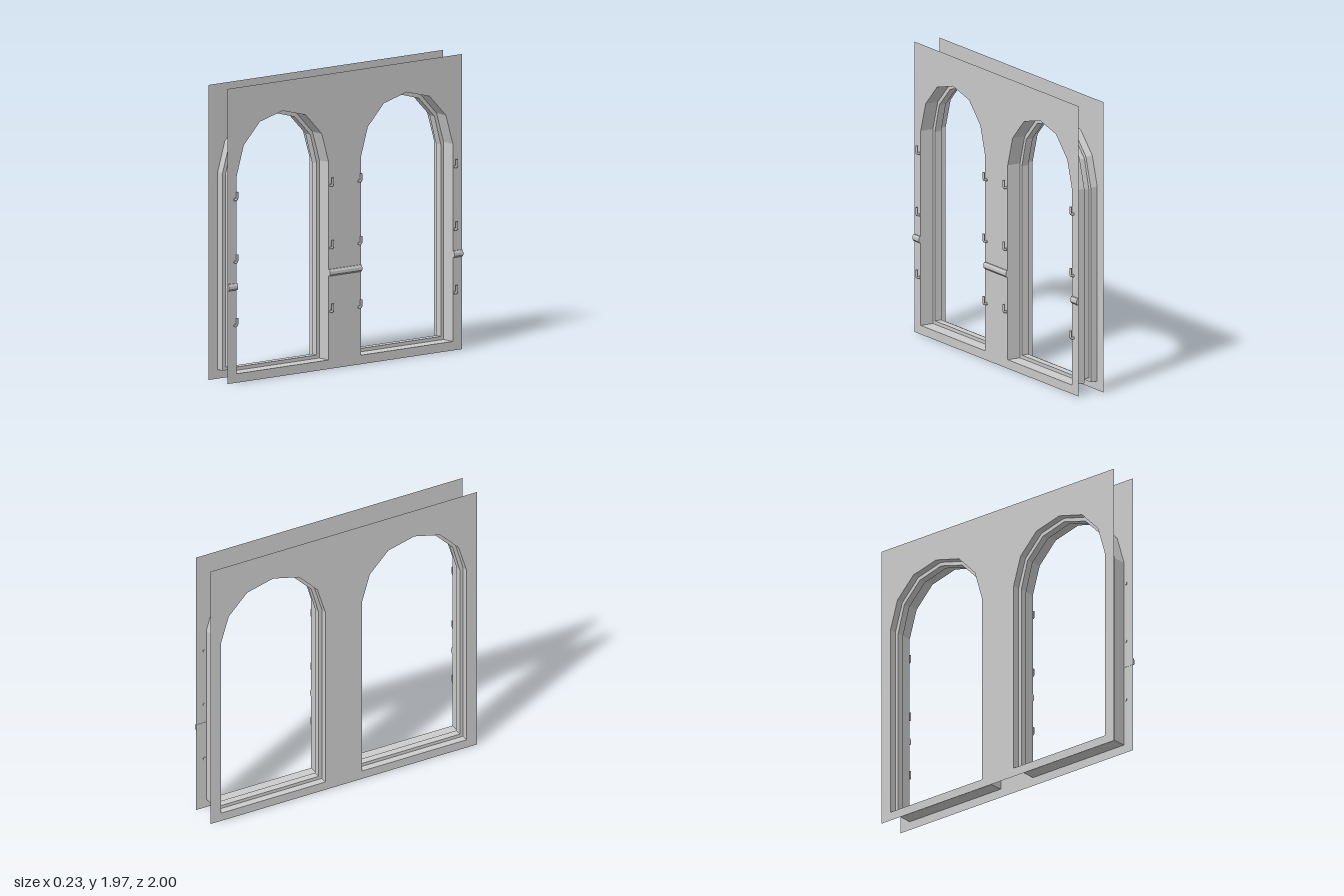
import * as THREE from 'three';

const TOP = 1.97, CENTRE = 0.53, BACK = -0.115, FRONT = 0.08;
const mat = new THREE.MeshStandardMaterial({ color: 0xcccccc, flatShading: true, side: THREE.DoubleSide });
const smooth = new THREE.MeshStandardMaterial({ color: 0xcccccc });

// Arched outlines as [z offset from the arch centre, y], right half mirrored
const mirrorArch = (half) => [...half, [0, half.top], ...half.slice().reverse().map(([z, y]) => [-z, y])];
const arch = (half, top) => mirrorArch(Object.assign(half, { top }));
const OUTER = arch([[0.393, 0.06], [0.393, 1.38], [0.333, 1.578], [0.195, 1.72]], 1.77);
const INNER = arch([[0.369, 0.083], [0.369, 1.365], [0.315, 1.56], [0.182, 1.695]], 1.745);

function mesh(name, geometry, material = mat) {
  const m = new THREE.Mesh(geometry, material);
  m.name = name;
  return m;
}

// Thin wall sheet with two arched openings
function wallSheet(x) {
  const shape = new THREE.Shape([[-1, 0], [1, 0], [1, TOP], [-1, TOP]].map((p) => new THREE.Vector2(...p)));
  for (const c of [-CENTRE, CENTRE]) {
    shape.holes.push(new THREE.Path(OUTER.map(([z, y]) => new THREE.Vector2(z + c, y))));
  }
  return new THREE.ShapeGeometry(shape).rotateY(Math.PI / 2).translate(x, 0, 0);
}

// Stepped window frame: arch outlines joined through the wall depth
function frameGeometry() {
  const rings = [[BACK, OUTER], [-0.065, OUTER], [-0.065, INNER], [-0.015, INNER], [-0.015, OUTER], [FRONT, OUTER]];
  const pos = [];
  for (let r = 0; r < rings.length - 1; r++) {
    const [xa, A] = rings[r], [xb, B] = rings[r + 1];
    for (let i = 0; i < A.length; i++) {
      const j = (i + 1) % A.length;
      const a = [xa, A[i][1], A[i][0]], b = [xa, A[j][1], A[j][0]];
      const c = [xb, B[j][1], B[j][0]], d = [xb, B[i][1], B[i][0]];
      pos.push(...a, ...b, ...c, ...a, ...c, ...d);
    }
  }
  const g = new THREE.BufferGeometry();
  g.setAttribute('position', new THREE.Float32BufferAttribute(pos, 3));
  g.computeVertexNormals();
  return g;
}

// Upturned hook with a small round wall plate
function hook() {
  const group = new THREE.Group();
  group.name = 'hook';
  const path = new THREE.CurvePath();
  const v = (x, y) => new THREE.Vector3(x, y, 0);
  path.add(new THREE.LineCurve3(v(0, 0), v(0.01, 0)));
  path.add(new THREE.QuadraticBezierCurve3(v(0.01, 0), v(0.023, 0), v(0.023, 0.015)));
  path.add(new THREE.LineCurve3(v(0.023, 0.015), v(0.023, 0.053)));
  group.add(mesh('hookRod', new THREE.TubeGeometry(path, 14, 0.008, 8), smooth));
  const tip = mesh('hookTip', new THREE.CylinderGeometry(0.008, 0.008, 0.002, 8), smooth);
  tip.position.set(0.023, 0.053, 0);
  const plate = mesh('hookPlate', new THREE.CylinderGeometry(0.011, 0.011, 0.01, 8).rotateZ(Math.PI / 2), smooth);
  group.add(tip, plate);
  return group;
}

// Bevelled horizontal rail from z0 to z1
function rail(z0, z1) {
  const profile = [[0.078, 0.62], [0.088, 0.62], [0.095, 0.63], [0.095, 0.65], [0.088, 0.665], [0.078, 0.665]];
  const shape = new THREE.Shape(profile.map((p) => new THREE.Vector2(...p)));
  return new THREE.ExtrudeGeometry(shape, { depth: z1 - z0, bevelEnabled: false }).translate(0, 0, z0);
}

export function createModel() {
  const model = new THREE.Group();
  model.name = 'archedWindowWall';

  model.add(mesh('outerWall', wallSheet(FRONT)), mesh('innerWall', wallSheet(BACK)));

  const frame = frameGeometry();
  for (const side of [-1, 1]) {
    const f = mesh('windowFrame', frame);
    f.position.z = side * CENTRE;
    model.add(f);

    // Three hooks beside each edge of the opening
    for (const z of [0.121, 0.939]) {
      for (const y of [0.383, 0.807, 1.225]) {
        const h = hook();
        h.position.set(FRONT, y, side * z);
        model.add(h);
      }
    }
  }

  // Rails across the middle pier and the two end piers
  for (const [a, b] of [[-0.137, 0.137], [0.923, 1], [-1, -0.923]]) model.add(mesh('rail', rail(a, b)));

  return model;
}
